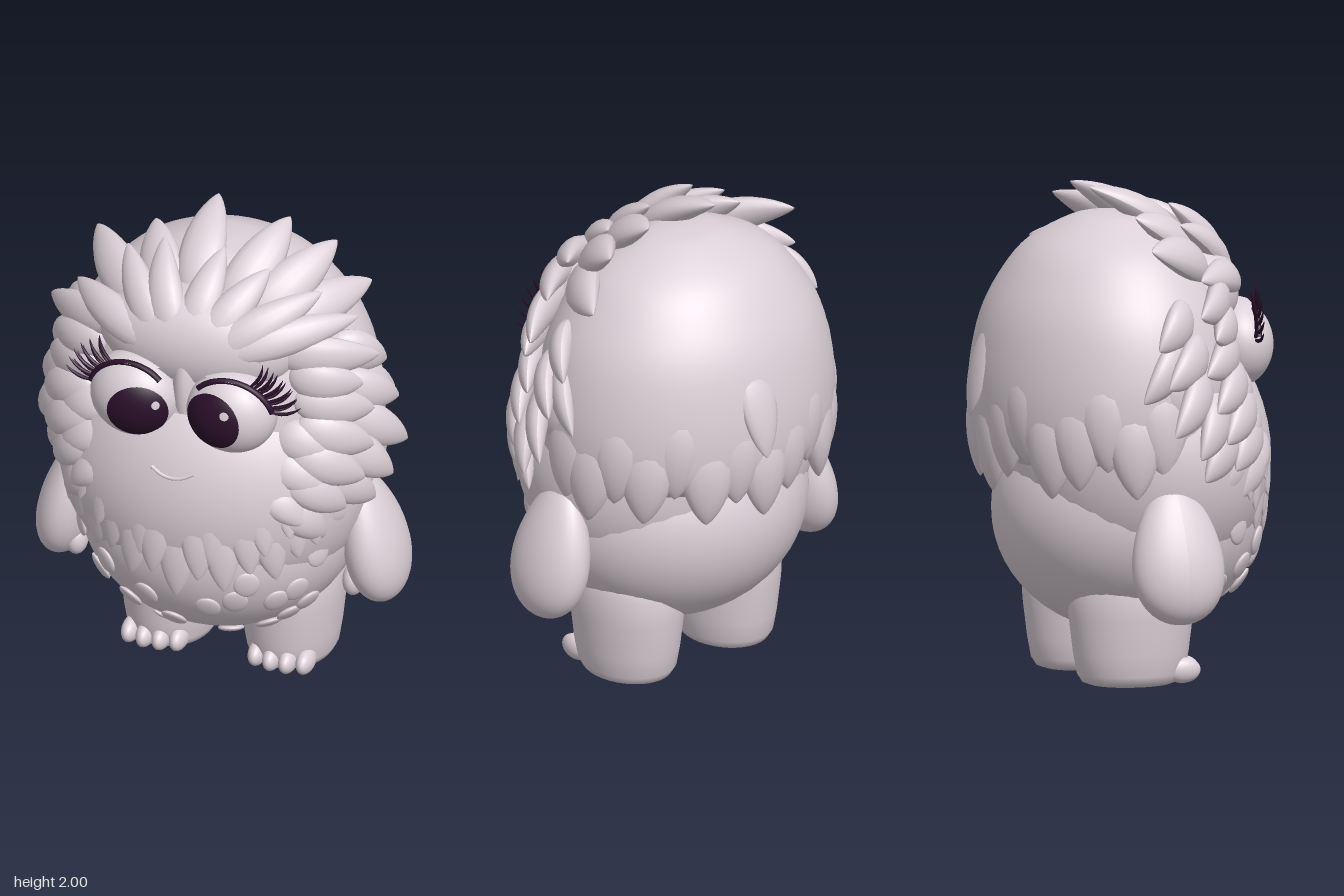
import * as THREE from 'three';

const V = (x, y, z) => new THREE.Vector3(x, y, z);
const fur = new THREE.MeshStandardMaterial({ color: 0xdbd0d7 });
fur.name = 'pale fur';
fur.side = THREE.DoubleSide;
const dark = new THREE.MeshStandardMaterial({ color: 0x2b102b });
dark.name = 'dark plum';

// Main masses: centre and radii
const BODY = { c: V(0.01, 0.68, 0.05), r: V(0.58, 0.5, 0.54) };
const FACE = { c: V(0, 0.91, 0.08), r: V(0.65, 0.61, 0.535) };

function frontZ(e, x, y) {
  const k = 1 - ((x - e.c.x) / e.r.x) ** 2 - ((y - e.c.y) / e.r.y) ** 2;
  return e.c.z + e.r.z * Math.sqrt(Math.max(k, 0.02));
}

function add(parent, name, geo, mat = fur) {
  const m = new THREE.Mesh(geo, mat);
  m.name = name;
  parent.add(m);
  return m;
}

function blob(parent, name, c, r) {
  const m = add(parent, name, new THREE.SphereGeometry(1, 40, 28));
  m.position.copy(c);
  m.scale.copy(r);
  return m;
}

// Pointed, flattened tuft running from base to tip, bowed along its normal
function tuft(parent, name, base, tip, width, thick, normal, bow = 0.08, mat = fur, seg = 16) {
  const dir = tip.clone().sub(base), len = dir.length();
  dir.normalize();
  const geo = new THREE.SphereGeometry(1, seg, seg);
  const p = geo.attributes.position;
  for (let i = 0; i < p.count; i++) {
    const y = p.getY(i);
    const k = 1.15 * Math.pow(Math.max((1 - y) / 2, 0), 0.27);
    p.setXYZ(i, p.getX(i) * k * width / 2, y * len / 2,
      p.getZ(i) * k * thick / 2 + bow * len * (1 - y * y));
  }
  const n = normal.clone().addScaledVector(dir, -normal.dot(dir)).normalize();
  const x = dir.clone().cross(n);
  geo.applyMatrix4(new THREE.Matrix4().makeBasis(x, dir, n)
    .setPosition(base.clone().add(tip).multiplyScalar(0.5)));
  geo.computeVertexNormals();
  return add(parent, name, geo, mat);
}

function buildHead(g) {
  blob(g, 'face', FACE.c, FACE.r);
  blob(g, 'cheekMass', V(0, 1.22, 0.05), V(0.66, 0.42, 0.36));
  blob(g, 'forehead', V(-0.01, 1.58, 0.27), V(0.42, 0.23, 0.2));
  blob(g, 'noseBridge', V(-0.015, 1.42, 0.36), V(0.065, 0.26, 0.12));
  // Smooth rounded back of the head
  const prof = [[0.8, 0.9], [0.94, 0.96], [1, 1.06], [1, 1.25], [0.93, 1.46], [0.8, 1.62],
    [0.6, 1.765], [0.3, 1.865], [0.12, 1.887], [0, 1.89]].map(([r, y]) => new THREE.Vector2(r, y));
  const pts = new THREE.SplineCurve(prof).getPoints(40);
  pts.forEach(p => { p.x = Math.max(p.x, 0); });
  const geo = new THREE.LatheGeometry(pts, 56);
  const p = geo.attributes.position;
  for (let i = 0; i < p.count; i++) {
    const z = p.getZ(i);
    p.setXYZ(i, p.getX(i) * 0.645, p.getY(i), z * (z > 0 ? 0.5 : 0.56) - 0.02);
  }
  geo.computeVertexNormals();
  add(g, 'backOfHead', geo);
  // Smile
  const smile = new THREE.CatmullRomCurve3([-0.105, -0.06, -0.015, 0.03, 0.075].map((x, i) => {
    const y = 1.09 + 0.03 * (((i - 2) / 2) ** 2);
    return V(x, y, frontZ(FACE, x, y));
  }));
  add(g, 'smile', new THREE.TubeGeometry(smile, 20, 0.008, 8));
}

function buildTufts(g) {
  // Crest: short front row and longer back row, [tip x, y, z]
  const front = [[-0.57, 1.67, 0.15], [-0.36, 1.87, 0.14], [-0.2, 1.94, 0.15], [0.05, 1.93, 0.13],
    [0.25, 1.88, 0.15], [0.47, 1.81, 0.14], [0.61, 1.7, 0.1]];
  const back = [[-0.56, 1.8, -0.06], [-0.3, 1.9, -0.03], [-0.07, 2, -0.14], [0.25, 1.98, -0.1],
    [0.45, 1.91, -0.1], [0.58, 1.72, -0.15]];
  const up = V(0, 0.6, 0.8);
  front.forEach(t => tuft(g, 'crestFrontTuft', V(t[0] * 0.18 - 0.02, 1.59, 0.42), V(...t), 0.16, 0.11,
    up.clone().setX(t[0]), 0.1));
  back.forEach(t => tuft(g, 'crestBackTuft', V(t[0] * 0.4, 1.74 - Math.abs(t[0]) * 0.15, 0.28), V(...t), 0.2, 0.12,
    up.clone().setX(t[0]), 0.07));

  // Cheeks: overlapping rows, [base xyz, tip xyz], mirrored
  const cheeks = [
    [0.36, 1.6, 0.34, 0.7, 1.54, 0.1], [0.53, 1.56, 0.14, 0.67, 1.41, -0.07],
    [0.56, 1.44, 0.12, 0.68, 1.2, -0.14], [0.55, 1.42, 0.2, 0.73, 1.26, -0.05],
    [0.58, 1.3, 0.2, 0.77, 1.07, -0.04], [0.58, 1.2, 0.26, 0.75, 0.97, 0.08],
    [0.54, 1.08, 0.33, 0.69, 0.87, 0.12], [0.5, 1, 0.38, 0.6, 0.79, 0.2],
    [0.43, 1.5, 0.34, 0.66, 1.44, 0.18], [0.46, 1.4, 0.36, 0.69, 1.3, 0.13],
    [0.48, 1.3, 0.38, 0.7, 1.15, 0.17], [0.47, 1.2, 0.42, 0.68, 1.02, 0.22],
    [0.45, 1.1, 0.45, 0.62, 0.9, 0.28], [0.42, 1, 0.47, 0.55, 0.78, 0.33],
    [0.38, 1.26, 0.38, 0.58, 1.17, 0.33], [0.36, 1.16, 0.42, 0.57, 1.02, 0.37],
    [0.34, 1.06, 0.45, 0.5, 0.88, 0.44]];
  for (const s of [-1, 1]) for (const c of cheeks) {
    tuft(g, 'cheekTuft', V(s * (c[0] - 0.045), c[1], c[2] - 0.03), V(s * c[3], c[4], c[5]), 0.175, 0.1,
      V(s * 0.8, 0, 0.55), 0.08);
  }

  // Bib: pointed fringe growing out of the chin, [tip x, tip y]
  const bib = [[0, 0.53], [0.1, 0.63], [0.2, 0.58], [0.3, 0.66], [0.39, 0.62], [0.47, 0.71], [0.53, 0.76],
    [0.16, 0.69], [0.36, 0.75], [0.45, 0.83]];
  for (const s of [-1, 1]) for (const [x, y] of bib) {
    if (x === 0 && s < 0) continue;
    const bx = s * x * 0.85, by = y + 0.36;
    const tipZ = Math.max(frontZ(BODY, s * x, y), frontZ(FACE, s * x, y)) + 0.015;
    tuft(g, 'bibTuft', V(bx, by, frontZ(FACE, bx, by) - 0.06), V(s * x, y, tipZ), 0.155, 0.07,
      V(s * x * 1.2, 0, 0.7), 0.015);
  }

  // Ragged lower edge of the back hair
  const drops = [0.88, 0.8, 0.91, 0.83, 0.79, 0.92, 0.85, 0.78, 0.87, 0.8, 0.93, 0.82, 0.9, 0.8, 0.86];
  drops.forEach((y, i) => {
    const a = Math.PI * (1.01 + 0.98 * i / (drops.length - 1));
    const c = Math.cos(a), s = Math.sin(a);
    tuft(g, 'backFringeTuft', V(c * 0.57, y + 0.42, s * 0.49 - 0.02), V(c * 0.62, y, s * 0.52 - 0.01),
      0.23, 0.13, V(c, 0, s), 0.02);
  });
  tuft(g, 'backFringeTuft', V(0.05, 1.46, -0.5), V(0.05, 1.08, -0.61), 0.18, 0.08, V(0, 0, -1), 0.02);
}

function buildEye(g, s) {
  const C = V(s * 0.205 - 0.018, 1.36, 0.43), R = V(0.188, 0.178, 0.148);
  const eye = new THREE.Group();
  eye.name = s > 0 ? 'leftEye' : 'rightEye';
  eye.position.copy(C);
  eye.scale.copy(R);
  g.add(eye);
  add(eye, 'eyeball', new THREE.SphereGeometry(1, 40, 28));
  // Caps lying on the eyeball, aimed by their front offset
  const cap = (name, radius, half, dx, dy, mat) => {
    const m = add(eye, name, new THREE.SphereGeometry(radius, 36, 10, 0, Math.PI * 2, 0, half), mat);
    m.quaternion.setFromUnitVectors(V(0, 1, 0), V(dx, dy, Math.sqrt(1 - dx * dx - dy * dy)));
  };
  const py = s > 0 ? 0.03 : -0.12;
  cap('pupil', 1.015, 0.73, -s * 0.31, py, dark);
  cap('eyeHighlight', 1.03, 0.1, -s * 0.28 + 0.36, py + 0.28, fur);
  const lid = add(eye, 'eyelid', new THREE.SphereGeometry(1.06, 36, 10, 0, Math.PI * 2, 0, Math.PI * 0.25));
  lid.rotation.x = -0.35;

  // Lash line along the lid edge, wrapping back at the outer corner
  const line = [];
  for (let i = 0; i <= 12; i++) {
    const a = (14 + 121 * i / 12) * Math.PI / 180, k = 0.985 - 0.06 * i / 12;
    line.push(V(C.x + s * Math.cos(a) * R.x * k, C.y + Math.sin(a) * R.y * k,
      C.z + R.z * Math.sqrt(1 - k * k) + 0.006));
  }
  add(g, 'lashLine', new THREE.TubeGeometry(new THREE.CatmullRomCurve3(line), 30, 0.013, 8), dark);
  // Fanned lashes at the outer corner, in two layers
  for (let i = 0; i < 11; i++) {
    const a = (12 + 5 * i) * Math.PI / 180, c = Math.cos(a), n = Math.sin(a);
    const len = 0.13 - 0.02 * (i % 2);
    const base = V(C.x + s * c * 0.175, C.y + n * 0.168, C.z + 0.01 + 0.04 * n);
    const tip = base.clone().add(V(s * c * len, n * len * 0.85 + 0.02, -0.01 - 0.03 * (i % 2)));
    tuft(g, 'eyelash', base, tip, 0.016, 0.016, V(s * n, -c, 0), 0.13, dark, 8);
  }
}

function buildBelly(g) {
  blob(g, 'body', BODY.c, BODY.r);
  const spots = [[-0.48, 0.64], [-0.33, 0.57], [-0.38, 0.48], [-0.24, 0.4], [-0.14, 0.49], [-0.05, 0.35],
    [-0.42, 0.41], [-0.31, 0.29], [-0.14, 0.25], [0.13, 0.24], [0.12, 0.48], [0.23, 0.52], [0.28, 0.61],
    [0.37, 0.5], [0.44, 0.54], [0.51, 0.69], [0.38, 0.37], [0.29, 0.3], [0.45, 0.43]];
  for (const [x, y] of spots) {
    const p = V(x, y, frontZ(BODY, x, y));
    const n = p.clone().sub(BODY.c).divide(BODY.r).divide(BODY.r).normalize();
    const m = blob(g, 'bellySpot', p.clone().addScaledVector(n, 0.008), V(0.053, 0.062, 0.016));
    m.lookAt(p.clone().add(n));
  }
}

function buildLimbs(g, s) {
  // Tapered arm with a thumb
  const geo = new THREE.SphereGeometry(1, 32, 28);
  const p = geo.attributes.position;
  for (let i = 0; i < p.count; i++) {
    const k = 1 - 0.25 * p.getY(i);
    p.setXYZ(i, p.getX(i) * k * 0.12, p.getY(i) * 0.29, p.getZ(i) * k * 0.188);
  }
  geo.computeVertexNormals();
  const dy = s > 0 ? 0.02 : -0.03;
  const arm = add(g, s > 0 ? 'leftArm' : 'rightArm', geo);
  arm.position.set(s * 0.64 + 0.008, 0.61 + dy, 0.02);
  arm.rotation.z = s * 0.22;
  blob(g, 'thumb', V(s * 0.59, 0.43 + dy, 0.1), V(0.045, 0.07, 0.06));

  // Stout leg
  const lx = s * 0.255 + 0.035;
  const prof = [[0, 0], [0.64, 0], [0.77, 0.012], [0.85, 0.045], [0.91, 0.13], [0.98, 0.28], [1, 0.4], [0.85, 0.52], [0, 0.58]]
    .map(a => new THREE.Vector2(...a));
  const leg = add(g, s > 0 ? 'leftLeg' : 'rightLeg', new THREE.LatheGeometry(prof, 36));
  leg.position.set(lx, 0, -0.02);
  leg.scale.set(0.215, 1, 0.262);
  for (let i = 0; i < 4; i++) {
    const t = (i - 1.5) * 0.068;
    blob(g, 'toe', V(lx + s * 0.015 + t, 0.058, 0.185 - Math.abs(t) * 0.25), V(0.037, 0.052, 0.075));
  }
}

export function createModel() {
  const g = new THREE.Group();
  g.name = 'furryCreature';
  buildBelly(g);
  buildHead(g);
  buildTufts(g);
  for (const s of [-1, 1]) {
    buildEye(g, s);
    buildLimbs(g, s);
  }
  return g;
}
